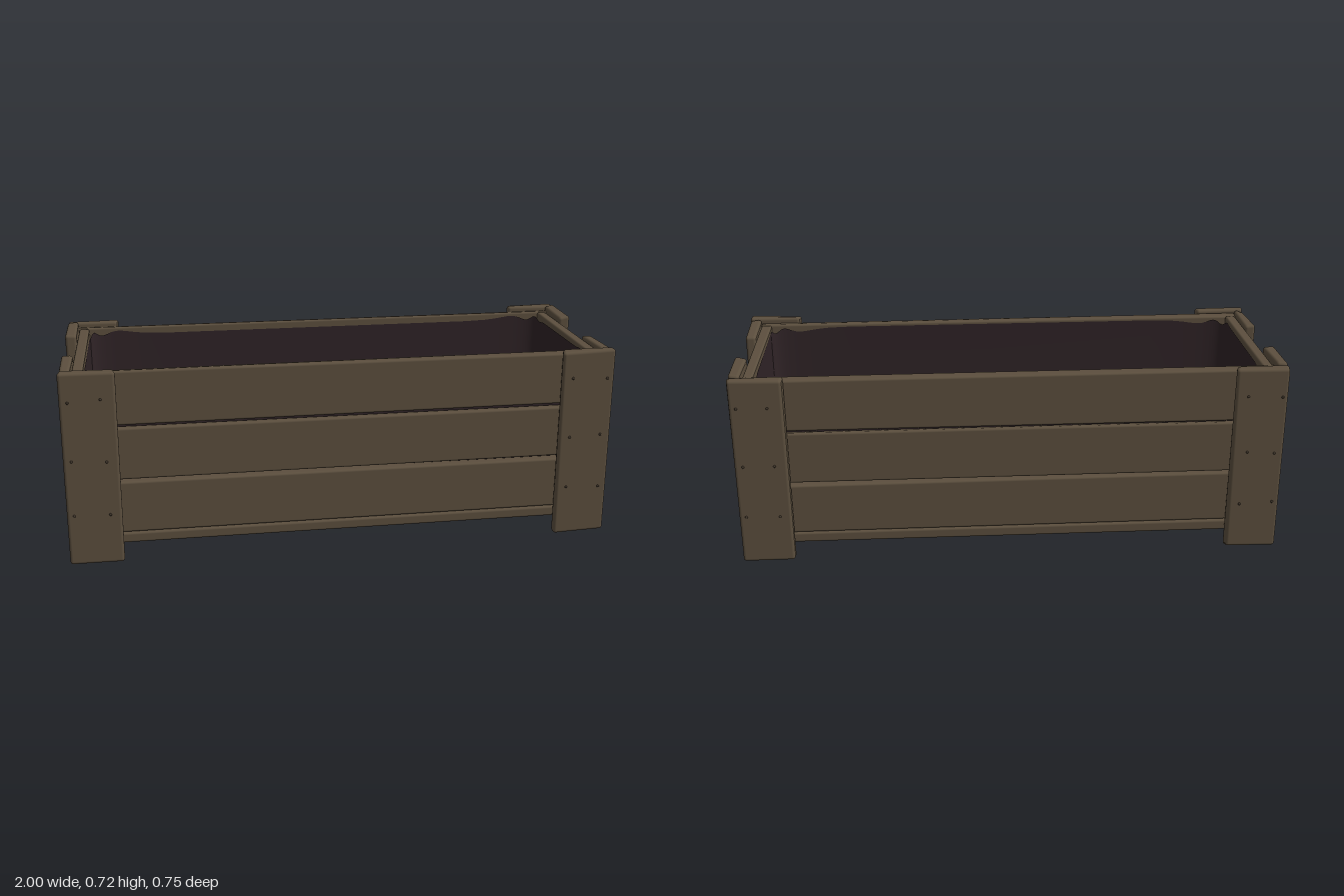
import * as THREE from 'three';
import { RoundedBoxGeometry } from 'three/addons/geometries/RoundedBoxGeometry.js';

const mat = (name, color) => {
  const m = new THREE.MeshStandardMaterial({ color });
  m.name = name;
  return m;
};

export function createModel() {
  const planter = new THREE.Group();
  planter.name = 'woodenPlanter';
  const wood = mat('weathered wood', 0x5c4f3e);
  const cloth = mat('liner cloth', 0x2f2326);
  cloth.side = THREE.DoubleSide;
  const iron = mat('nail iron', 0x40362b);

  // small seeded generator for uneven, hand-cut corners
  let seed = 7;
  const rnd = () => {
    seed = (seed * 16807) % 2147483647;
    return seed / 2147483647 - 0.5;
  };

  // softly rounded board given by its limits; each corner is nudged by up to wear / 2
  function board(name, [x0, x1], [y0, y1], [z0, z1], wear = [0, 0, 0], round = 0.008) {
    const size = [x1 - x0, y1 - y0, z1 - z0];
    const geo = new RoundedBoxGeometry(...size, 3, Math.min(round, Math.min(...size) * 0.45));
    const nudge = Array.from({ length: 8 }, () => wear.map(w => w * rnd()));
    const p = geo.attributes.position;
    for (let i = 0; i < p.count; i++) {
      const x = p.getX(i), y = p.getY(i), z = p.getZ(i);
      const n = nudge[(x > 0 ? 1 : 0) + (y > 0 ? 2 : 0) + (z > 0 ? 4 : 0)];
      p.setXYZ(i, x + n[0], y + n[1], z + n[2]);
    }
    const mesh = new THREE.Mesh(geo, wood);
    mesh.name = name;
    mesh.position.set((x0 + x1) / 2, (y0 + y1) / 2, (z0 + z1) / 2);
    planter.add(mesh);
    return mesh;
  }
  const span = (s, a, b) => (s > 0 ? [a, b] : [-b, -a]);

  // three rows of wall planks on the long sides and the ends
  const rows = [[0.1, 0.294], [0.303, 0.496], [0.508, 0.704]];
  for (const s of [1, -1]) {
    for (const [y0, y1] of rows) {
      board(s > 0 ? 'frontPlank' : 'backPlank', [-0.955, 0.955], [y0, y1],
        span(s, 0.29, 0.327), [0.004, 0.006, 0.003]);
      board(s > 0 ? 'leftEndPlank' : 'rightEndPlank', span(s, 0.912, 0.95),
        [y0 - 0.004, y1 - 0.001], [-0.29, 0.29], [0.003, 0.003, 0.002]);
    }
  }

  // floor boards
  for (const [z0, z1] of [[-0.322, -0.112], [-0.1, 0.106], [0.118, 0.322]]) {
    board('floorBoard', [-0.945, 0.945], [0.056, 0.095], [z0, z1], [0.01, 0.004, 0.004]);
  }

  // corner posts, each made of a long-side board and an end board
  const nail = new THREE.SphereGeometry(0.005, 8, 6);
  function addNail(x, y, z) {
    const mesh = new THREE.Mesh(nail, iron);
    mesh.name = 'nail';
    mesh.position.set(x, y, z);
    planter.add(mesh);
  }
  for (const sx of [1, -1]) {
    for (const sz of [1, -1]) {
      const top = sz > 0 ? 0.714 : 0.723;
      board('sidePost', span(sx, 0.803, 0.995), [0.005, 0.718], span(sz, 0.329, 0.368),
        [0.008, 0.008, 0.003], 0.011);
      board('endPost', span(sx, 0.953, 0.994), [0.005, top], span(sz, 0.127, 0.323),
        [0.003, 0.008, 0.006], 0.011);
      for (const y of [0.19, 0.395, 0.615]) {
        for (const k of [0, 1]) {
          addNail(sx * 0.995, y + rnd() * 0.01, sz * (0.19 + k * 0.112 + rnd() * 0.02));
          addNail(sx * (0.85 + k * 0.115 + rnd() * 0.02), y + rnd() * 0.01, sz * 0.369);
        }
      }
    }
  }

  // cloth liner: nested rounded rectangles from the rim down the walls to a sagging floor
  const loops = [[0.909, 0.287, 0.685], [0.909, 0.287, 0.5], [0.907, 0.286, 0.3],
    [0.9, 0.28, 0.17], [0.86, 0.25, 0.125], [0.78, 0.2, 0.112], [0.5, 0.1, 0.104], [0, 0, 0.102]];
  const around = 96, pos = [], index = [];
  loops.forEach(([hx, hz, y], r) => {
    for (let i = 0; i < around; i++) {
      const a = ((i + 0.5) / around) * Math.PI * 2;
      const c = Math.cos(a), s = Math.sin(a);
      const e = r < 4 ? 0.12 : 0.25;
      const ripple = r === 0 ? 0.008 * Math.sin(a * 9) : 0;
      pos.push(hx * Math.sign(c) * Math.abs(c) ** e, y + ripple, hz * Math.sign(s) * Math.abs(s) ** e);
      if (r > 0) {
        const j = (i + 1) % around, u = (r - 1) * around, v = r * around;
        index.push(u + i, u + j, v + i, u + j, v + j, v + i);
      }
    }
  });
  const linerGeo = new THREE.BufferGeometry();
  linerGeo.setAttribute('position', new THREE.Float32BufferAttribute(pos, 3));
  linerGeo.setIndex(index);
  linerGeo.computeVertexNormals();
  const liner = new THREE.Mesh(linerGeo, cloth);
  liner.name = 'liner';
  planter.add(liner);

  return planter;
}
